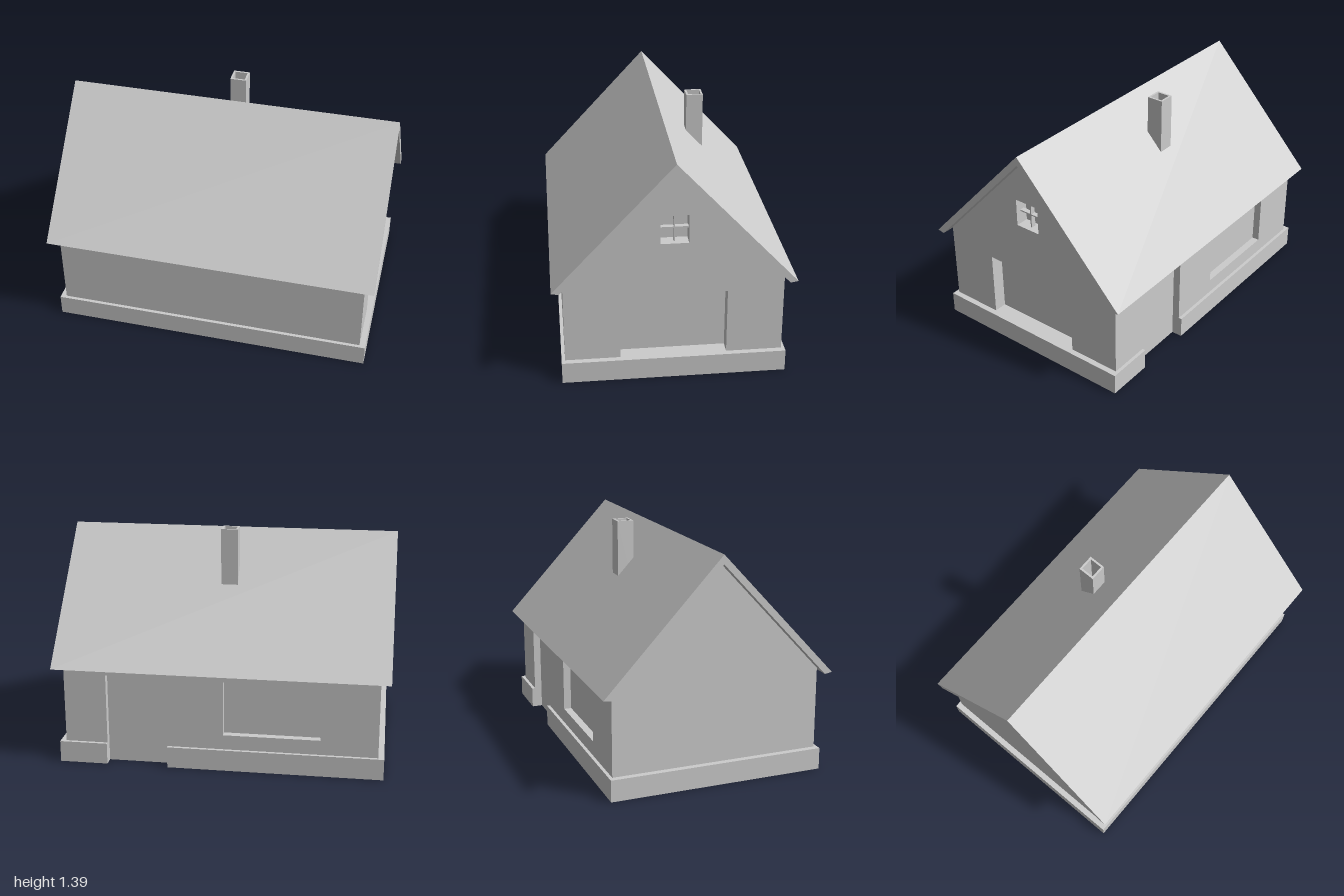
import * as THREE from 'three';

const paint = new THREE.MeshStandardMaterial({ color: 0xcccccc });
paint.name = 'plain grey';

const shapeOf = (pts) => new THREE.Shape(pts.map(([a, b]) => new THREE.Vector2(a, b)));
const rect = (x0, x1, y0, y1) => [[x0, y0], [x1, y0], [x1, y1], [x0, y1]];

// Flat outline (with rectangular holes) pushed along its normal
function extrude(pts, depth, holes = []) {
  const s = shapeOf(pts);
  holes.forEach((h) => s.holes.push(new THREE.Path(shapeOf(h).getPoints().reverse())));
  return new THREE.ExtrudeGeometry(s, { depth, bevelEnabled: false });
}

// Outline drawn as (-z, y), running from x0 to x1 along the house
const alongX = (pts, x0, x1, holes) =>
  extrude(pts, x1 - x0, holes).rotateY(Math.PI / 2).translate(x0, 0, 0);

// Outline drawn as (x, -z), standing from y0 to y1
const upright = (pts, y0, y1, holes) =>
  extrude(pts, y1 - y0, holes).rotateX(-Math.PI / 2).translate(0, y0, 0);

export function createModel() {
  const house = new THREE.Group();
  house.name = 'house';
  const add = (name, geometry) => {
    const mesh = new THREE.Mesh(geometry, paint);
    mesh.name = name;
    house.add(mesh);
    return mesh;
  };

  const base = 0.13, wallX = 0.94, wallZ = 0.63;
  const ridge = 1.295, slope = 1.073;
  const under = (z) => ridge - slope * Math.abs(z); // underside of the roof
  const backIn = 0.585, gableIn = 0.86;             // depths of the recessed panels
  const doorX0 = 0.315, doorX1 = 0.685;

  // Plinth, notched at the back door
  add('plinth', upright([
    [-0.975, -0.65], [0.975, -0.65], [0.975, 0.65], [doorX1, 0.65],
    [doorX1, backIn], [doorX0, backIn], [doorX0, 0.65], [-0.975, 0.65],
  ], 0, base));

  // Core of the house; its faces form the recessed door, window and garage panels
  add('houseCore', alongX([
    [-wallZ, base], [backIn, base], [backIn, under(backIn)], [0, ridge], [-wallZ, under(wallZ)],
  ], -wallX, gableIn));

  // Right gable wall with the garage opening and the attic window
  add('gableWall', alongX([
    [-wallZ, base], [-0.31, base], [-0.31, 0.53], [0.305, 0.53], [0.305, base], [wallZ, base],
    [wallZ, under(wallZ)], [0, ridge], [-wallZ, under(wallZ)],
  ], gableIn, wallX, [rect(-0.08, 0.08, 0.85, 1.02)]));

  // Back wall with the doorway and the wide window
  add('backWall', extrude([
    [-wallX, base], [doorX0, base], [doorX0, 0.56], [doorX1, 0.56], [doorX1, base],
    [gableIn, base], [gableIn, 0.635], [-wallX, 0.635],
  ], wallZ - backIn, [rect(-0.6, -0.022, 0.22, 0.555)]).translate(0, 0, -wallZ));

  // Left gable strip that closes the end of the back wall
  add('leftGableEdge', alongX([
    [backIn, base], [wallZ, base], [wallZ, under(wallZ)], [backIn, under(backIn)],
  ], -wallX, -wallX + 0.02));

  // Crossed glazing bars of the attic window
  add('windowBarUpright', new THREE.BoxGeometry(0.03, 0.17, 0.008)).position.set(0.895, 0.935, 0);
  add('windowBarLevel', new THREE.BoxGeometry(0.03, 0.008, 0.16)).position.set(0.895, 0.935, 0);

  // Saddle roof
  add('roof', alongX([
    [0, 1.35], [-0.695, 0.605], [-0.65, under(0.65)], [0, ridge], [0.65, under(0.65)], [0.695, 0.605],
  ], -1, 1));

  // Hollow chimney
  add('chimney', upright(rect(-0.06, 0.04, 0.177, 0.278), 0.98, 1.39,
    [rect(-0.048, 0.028, 0.189, 0.266)]));

  return house;
}
